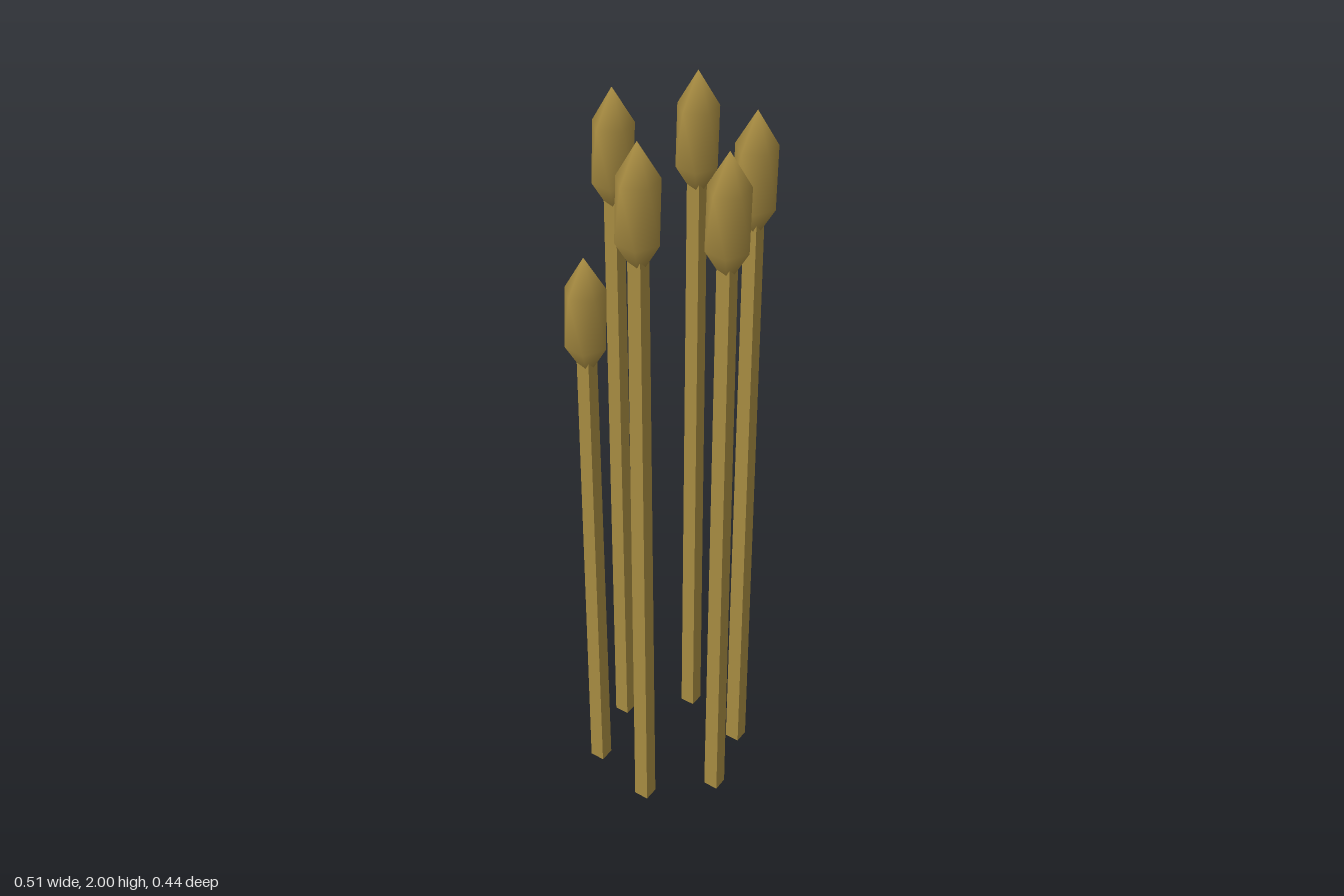
import * as THREE from 'three';
import { mergeVertices } from 'three/addons/utils/BufferGeometryUtils.js';

// Stretched icosahedron standing on a corner, with smooth normals
function headGeometry() {
  let geo = new THREE.IcosahedronGeometry(1, 0);
  geo.deleteAttribute('normal');
  geo.deleteAttribute('uv');
  geo = mergeVertices(geo, 1e-3);
  geo.rotateZ(-Math.atan(2 / (1 + Math.sqrt(5))));
  geo.scale(0.0587, 0.163, 0.0587);
  geo.computeVertexNormals();
  return geo;
}

export function createModel() {
  const model = new THREE.Group();
  model.name = 'reeds';

  const reed = new THREE.MeshStandardMaterial({ color: 0xa98d42 });
  reed.name = 'reed brown';
  const stalkMaterial = reed.clone();
  stalkMaterial.flatShading = true;

  const headGeo = headGeometry();
  const headHalf = 0.163;

  // Six reeds in a ring: x, z, tip height
  const reeds = [
    [0.2, 0, 1.97],
    [0.1, 0.17, 1.96],
    [-0.1, 0.17, 2.0],
    [-0.2, 0, 1.64],
    [-0.1, -0.17, 1.975],
    [0.1, -0.17, 2.0],
  ];

  for (const [x, z, tip] of reeds) {
    const plant = new THREE.Group();
    plant.name = 'reed';
    plant.position.set(x, 0, z);

    // Four-sided tapering stalk, ending inside the head
    const height = tip - headHalf;
    const stalk = new THREE.Mesh(new THREE.CylinderGeometry(0.0245, 0.029, height, 4), stalkMaterial);
    stalk.name = 'stalk';
    stalk.position.y = height / 2;

    const head = new THREE.Mesh(headGeo, reed);
    head.name = 'seedHead';
    head.position.y = tip - headHalf;

    plant.add(stalk, head);
    model.add(plant);
  }
  return model;
}
